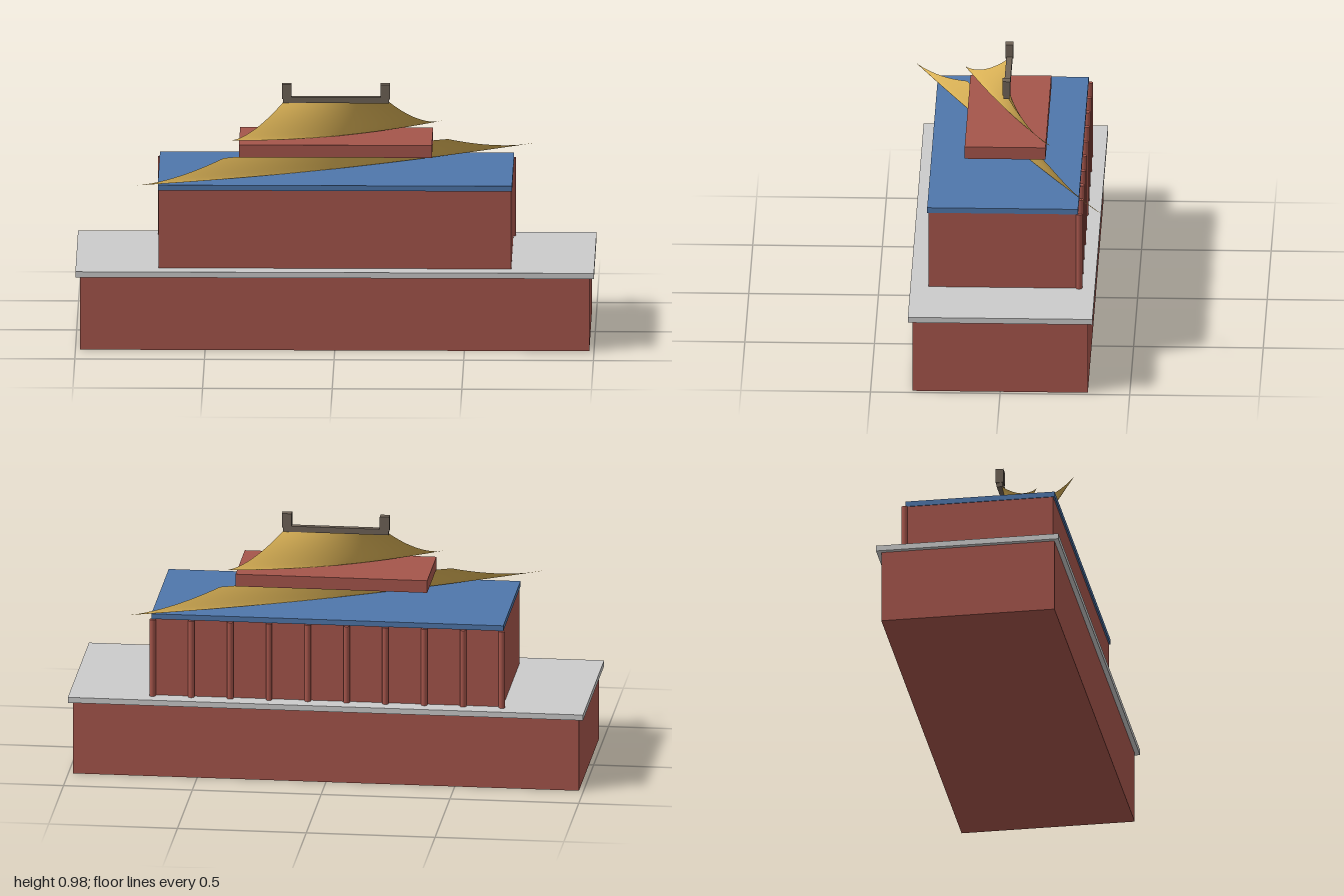
import * as THREE from 'three';
import { ParametricGeometry } from 'three/addons/geometries/ParametricGeometry.js';

const paint = (color, side = THREE.FrontSide) => new THREE.MeshStandardMaterial({ color, side });

export function createModel() {
  const group = new THREE.Group();
  const red = paint(0xa5554b), stone = paint(0xcccccc), blue = paint(0x4f77ab);
  const gold = paint(0xd8b055, THREE.DoubleSide), dark = paint(0x6f6357);

  const add = (name, geometry, material, x = 0, y = 0, z = 0) => {
    const mesh = new THREE.Mesh(geometry, material);
    mesh.name = name;
    mesh.position.set(x, y, z);
    group.add(mesh);
  };
  // Box given by its width, depth and vertical extent
  const block = (name, w, d, y0, y1, material, x = 0) =>
    add(name, new THREE.BoxGeometry(w, y1 - y0, d), material, x, (y0 + y1) / 2);

  // Diagonal roof sheet: sagging slope from the top edge to eaves that lift at the tips
  const roof = (name, top, eave, lift) => {
    const sheet = (a, t, p) => {
      const u = a * 2 - 1;
      const x = THREE.MathUtils.lerp(top.x, eave.x, t);
      const z = THREE.MathUtils.lerp(top.z, eave.z, t);
      const y = eave.y + (top.y - eave.y) * Math.pow(1 - t, 1.5) + lift * u * u * t * t;
      p.set(u * x, y, -u * z);
    };
    add(name, new ParametricGeometry(sheet, 48, 16), gold);
  };

  // Platform
  block('platform', 1.964, 0.676, 0, 0.29, red);
  block('platformSlab', 2, 0.712, 0.29, 0.312, stone);

  // Hall with a row of columns along the back
  block('hall', 1.36, 0.57, 0.312, 0.62, red);
  const columnGeometry = new THREE.CylinderGeometry(0.0125, 0.0125, 0.308, 12);
  for (let i = 0; i < 10; i++) {
    add('column', columnGeometry, red, -0.678 + i * 1.356 / 9, 0.466, -0.295);
  }
  block('beam', 1.366, 0.582, 0.62, 0.641, blue);

  // Two roof tiers with the attic between them
  roof('lowerRoof', { x: 0.43, y: 0.721, z: 0.17 }, { x: 0.765, y: 0.641, z: 0.38 }, 0.019);
  block('attic', 0.744, 0.312, 0.721, 0.77, red);
  roof('upperRoof', { x: 0.205, y: 0.904, z: 0.008 }, { x: 0.405, y: 0.77, z: 0.177 }, 0.022);

  // Ridge and its end ornaments
  block('ridge', 0.41, 0.023, 0.903, 0.926, dark);
  for (const s of [-1, 1]) block('ridgeOrnament', 0.037, 0.03, 0.92, 0.977, dark, s * 0.19);

  return group;
}
